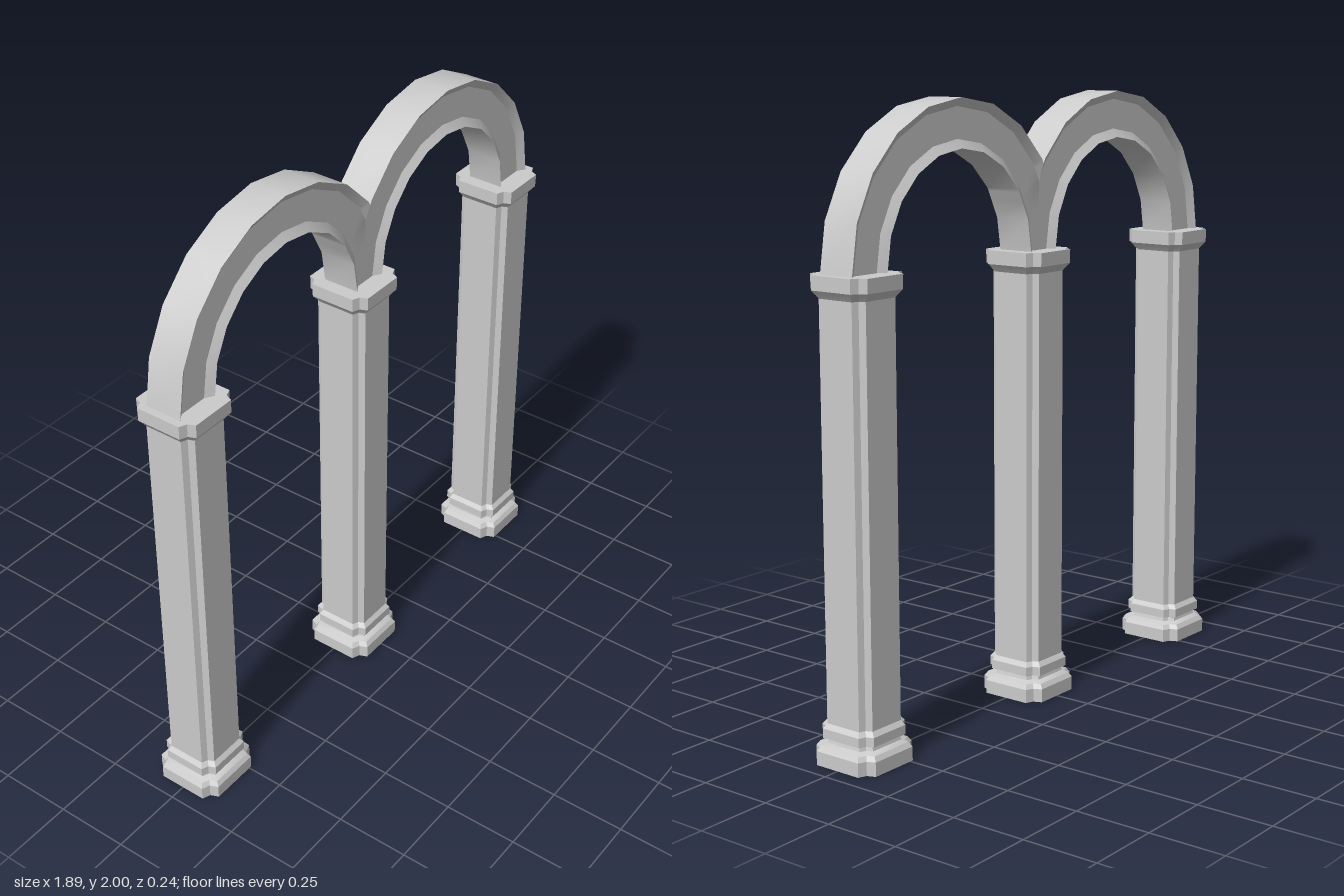
import * as THREE from 'three';
import { toCreasedNormals } from 'three/addons/utils/BufferGeometryUtils.js';

const material = new THREE.MeshStandardMaterial({ color: 0xcccccc, side: THREE.DoubleSide });
const SPACING = 0.824;        // distance between columns
const SPRING = 1.5;           // height where the arches start
const STEP = Math.PI / 10;    // arch segment angle

// Joins successive rings of points; keep(i, j) can leave out hidden quads.
function loft(rings, keep = () => true) {
  const n = rings[0].length;
  const index = [];
  for (let i = 0; i < rings.length - 1; i++) {
    for (let j = 0; j < n; j++) {
      if (!keep(i, j)) continue;
      const a = i * n + j, b = i * n + (j + 1) % n;
      index.push(a, b, b + n, a, b + n, a + n);
    }
  }
  const g = new THREE.BufferGeometry();
  g.setAttribute('position', new THREE.Float32BufferAttribute(rings.flat(2), 3));
  g.setIndex(index);
  return toCreasedNormals(g, 0.5);
}

// Square section with a shallow notch at each corner
function notchedRing(h, y) {
  const a = h * 0.69, n = h * 0.78;
  const ring = [];
  for (let k = 0; k < 4; k++) {
    const c = Math.round(Math.cos(k * Math.PI / 2)), s = Math.round(Math.sin(k * Math.PI / 2));
    for (const [x, z] of [[h, a], [n, n], [a, h]]) ring.push([x * c - z * s, y, x * s + z * c]);
  }
  return ring.reverse();
}

// Stack of notched sections given as [half width, height]
const stack = profile => loft(profile.map(([h, y]) => notchedRing(h, y)));

function createColumn() {
  const column = new THREE.Group();
  const parts = {
    base: [[0.122, 0], [0.122, 0.045], [0.112, 0.06], [0.094, 0.068], [0.091, 0.08],
      [0.105, 0.085], [0.105, 0.115], [0.093, 0.13]],
    shaft: [[0.093, 0.13], [0.093, 1.43]],
    capital: [[0.093, 1.43], [0.1, 1.44], [0.112, 1.455], [0.113, SPRING], [0, SPRING]],
  };
  for (const [name, profile] of Object.entries(parts)) {
    const mesh = new THREE.Mesh(stack(profile), material);
    mesh.name = name;
    column.add(mesh);
  }
  return column;
}

// Arch on the +x side, cut at x = 0 where it meets its twin
function createArchGeometry() {
  const cx = SPACING / 2, outer = 0.5, rim = 0.473, panel = 0.374, inner = 0.346;
  const edgeZ = 0.063, panelZ = 0.045;
  // radius of the faceted arc at angle t
  const chord = (r, t) => {
    const m = t - Math.floor(t / STEP + 1e-6) * STEP;
    return r * Math.cos(STEP / 2) / Math.cos(m - STEP / 2);
  };
  const limit = t => Math.cos(t) < -0.1 ? -cx / Math.cos(t) : Infinity;

  // stations: facet corners plus the points where the rim meets the cut
  const angles = Array.from({ length: 11 }, (_, i) => i * STEP);
  for (const r of [outer, rim]) {
    let lo = Math.PI * 0.6, hi = Math.PI;
    for (let k = 0; k < 40; k++) {
      const mid = (lo + hi) / 2;
      if (chord(r, mid) < limit(mid)) lo = mid; else hi = mid;
    }
    angles.push(lo);
  }
  angles.sort((a, b) => a - b);

  const rings = angles.map(t => {
    const rO = Math.min(chord(outer, t), limit(t));
    const rR = Math.min(chord(rim, t), limit(t));
    const z = panelZ + (edgeZ - panelZ) * (rO - rR) / (outer - rim);
    const half = [[rO, z], [rR, panelZ], [chord(panel, t), panelZ], [chord(inner, t), edgeZ]];
    const section = [...half, ...half.map(([r, d]) => [r, -d]).reverse()];
    return section.map(([r, d]) => [cx + r * Math.cos(t), SPRING + r * Math.sin(t), d]).reverse();
  });
  // leave out the hidden wall on the cut plane
  return loft(rings, (i, j) => !(j === 7 && rings[i][0][0] < 1e-5));
}

export function createModel() {
  const model = new THREE.Group();
  model.name = 'doubleArcade';

  ['rightColumn', 'middleColumn', 'leftColumn'].forEach((name, i) => {
    const column = createColumn();
    column.name = name;
    column.position.x = (i - 1) * SPACING;
    model.add(column);
  });

  const archGeometry = createArchGeometry();
  ['leftArch', 'rightArch'].forEach((name, i) => {
    const arch = new THREE.Mesh(archGeometry, material);
    arch.name = name;
    arch.rotation.y = i * Math.PI;
    model.add(arch);
  });
  return model;
}
